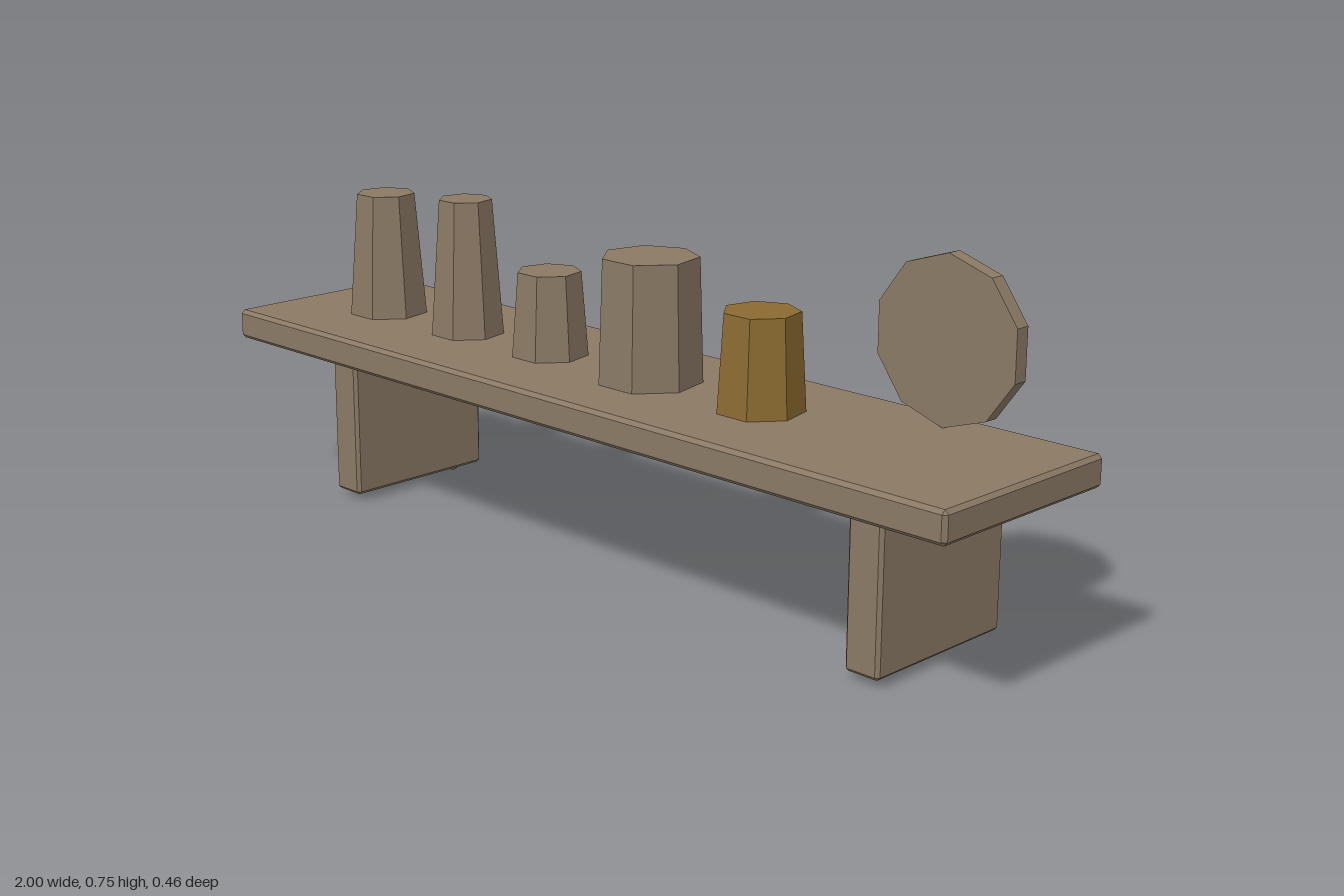
import * as THREE from 'three';
import { ConvexGeometry } from 'three/addons/geometries/ConvexGeometry.js';

const wood = new THREE.MeshStandardMaterial({ color: 0x8a7964, flatShading: true });
wood.name = 'brown';
const gold = new THREE.MeshStandardMaterial({ color: 0x8b6a31, flatShading: true });
gold.name = 'ochre';

// Box with all twelve edges chamfered by b
function chamferBox(w, h, d, b) {
  const points = [];
  for (const sx of [-1, 1]) for (const sy of [-1, 1]) for (const sz of [-1, 1]) {
    const x = w / 2, y = h / 2, z = d / 2;
    points.push(
      new THREE.Vector3(sx * x, sy * (y - b), sz * (z - b)),
      new THREE.Vector3(sx * (x - b), sy * y, sz * (z - b)),
      new THREE.Vector3(sx * (x - b), sy * (y - b), sz * z));
  }
  return new ConvexGeometry(points);
}

export function createModel() {
  const model = new THREE.Group();
  model.name = 'displayShelf';
  const add = (name, geometry, material, x, y, z) => {
    const mesh = new THREE.Mesh(geometry, material);
    mesh.name = name;
    mesh.position.set(x, y, z);
    model.add(mesh);
    return mesh;
  };

  // Shelf board
  const top = 0.414;
  add('shelfBoard', chamferBox(2, 0.065, 0.464, 0.008), wood, 0, top - 0.0325, 0);

  // Wall brackets, each with a small screw tip below
  for (const [side, s] of [['left', 1], ['right', -1]]) {
    add(side + 'Bracket', chamferBox(0.08, 0.335, 0.365, 0.007), wood, s * 0.75, 0.1825, -0.0495);
    add(side + 'BracketScrew', new THREE.CylinderGeometry(0.022, 0.007, 0.017, 8),
      wood, s * 0.75, 0.0085, -0.178);
  }

  // Seven-sided tapered cups: x, top height, top radius, bottom radius
  const cups = [
    [-0.75, 0.686, 0.065, 0.087, wood],
    [-0.478, 0.709, 0.058, 0.08, wood],
    [-0.215, 0.593, 0.068, 0.082, wood],
    [0.08, 0.67, 0.1, 0.108, wood],
    [0.377, 0.61, 0.077, 0.089, gold],
  ];
  cups.forEach(([x, height, rTop, rBottom, material], i) => {
    const h = height - top;
    const cup = add('cup' + (i + 1), new THREE.CylinderGeometry(rTop, rBottom, h, 7),
      material, x, top + h / 2, 0);
    cup.rotation.y = Math.PI;
  });

  // Ten-sided plate standing at the back
  const plate = add('standingPlate', new THREE.CylinderGeometry(0.1667, 0.1667, 0.032, 10),
    wood, 0.698, 0.581, -0.166);
  plate.rotation.x = Math.PI / 2;

  return model;
}
